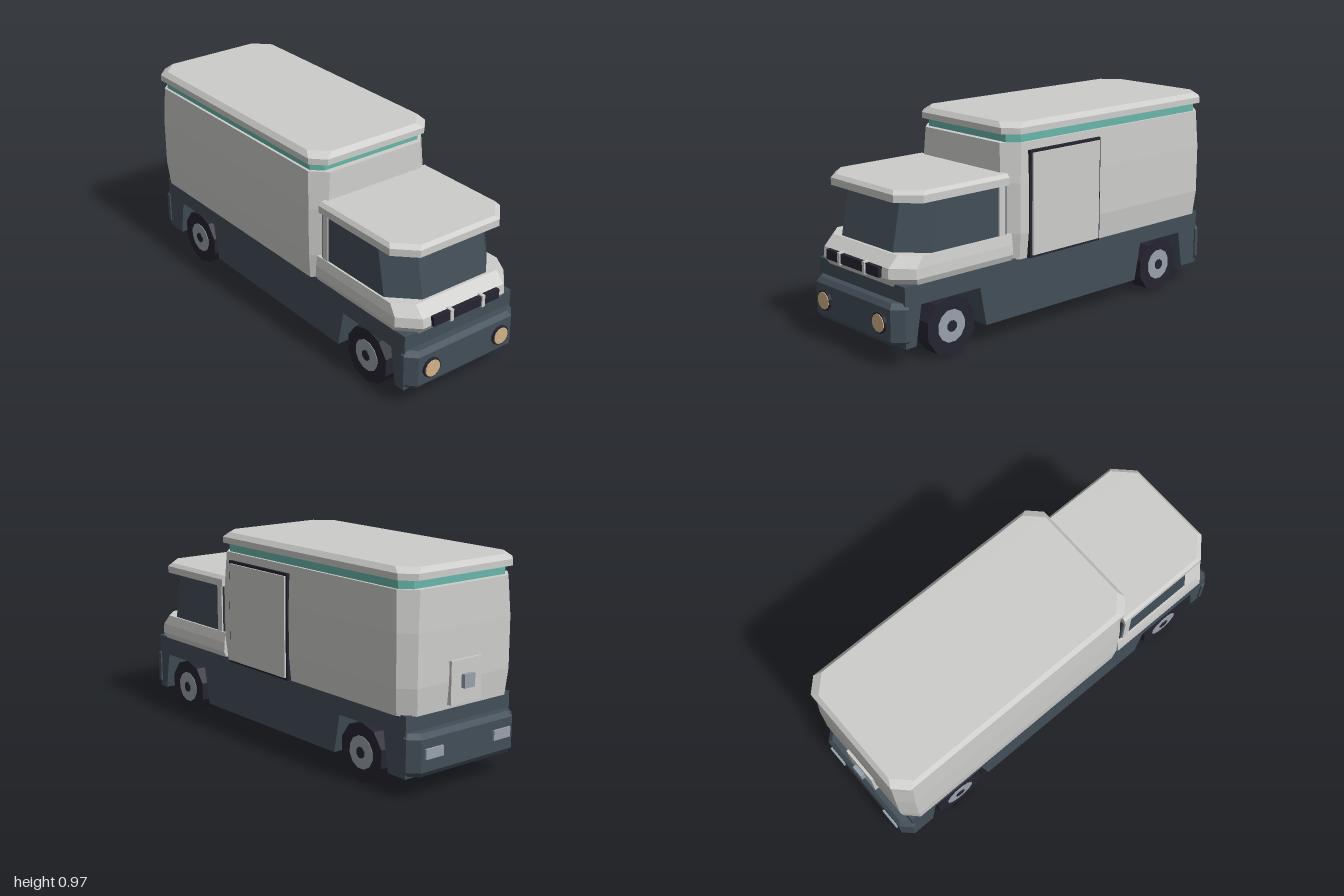
import * as THREE from 'three';

const mat = (name, color) => {
  const m = new THREE.MeshStandardMaterial({ color });
  m.name = name;
  return m;
};

// Stacked plan sections with chamfered corners.
// Each ring: [y, half width, back z, front z, back chamfer, front chamfer]
function loft(rings) {
  const loops = rings.map(([y, w, zb, zf, cb, cf]) => {
    const p = [];
    const add = (x, z) => p.push([x, y, z]);
    if (cf) add(w - cf, zf);
    add(w, zf - cf);
    add(w, zb + cb);
    if (cb) { add(w - cb, zb); add(-w + cb, zb); }
    add(-w, zb + cb);
    add(-w, zf - cf);
    if (cf) add(-w + cf, zf);
    return p;
  });
  const pos = [];
  const tri = (...c) => c.forEach((v) => pos.push(...v));
  const n = loops[0].length;
  for (let k = 0; k < loops.length - 1; k++) {
    const a = loops[k], b = loops[k + 1];
    for (let i = 0; i < n; i++) {
      const j = (i + 1) % n;
      tri(a[i], a[j], b[j]);
      tri(a[i], b[j], b[i]);
    }
  }
  const lo = loops[0], hi = loops[loops.length - 1];
  for (let i = 1; i < n - 1; i++) {
    tri(lo[0], lo[i + 1], lo[i]);
    tri(hi[0], hi[i], hi[i + 1]);
  }
  const g = new THREE.BufferGeometry();
  g.setAttribute('position', new THREE.Float32BufferAttribute(pos, 3));
  g.computeVertexNormals();
  return g;
}

// Flat-faced disc or drum lying along the x or z axis
function drum(r, len, sides, axis) {
  const g = new THREE.CylinderGeometry(r, r, len, sides).toNonIndexed();
  g.rotateY(Math.PI / sides);
  if (axis === 'x') g.rotateZ(Math.PI / 2);
  else g.rotateX(Math.PI / 2);
  g.computeVertexNormals();
  return g;
}

export function createModel() {
  const shell = mat('pale grey shell', 0xcccdca);
  const slate = mat('slate blue', 0x424e58);
  const teal = mat('teal stripe', 0x68b6a9);
  const black = mat('near black', 0x252430);
  const steel = mat('steel', 0x98a1ac);
  const lamp = mat('warm lamp', 0xd2b088);

  const model = new THREE.Group();
  model.name = 'van';
  const truck = new THREE.Group();
  truck.name = 'truck';
  truck.position.x = -0.0075;
  model.add(truck);

  const add = (name, geo, material, x = 0, y = 0, z = 0) => {
    const m = new THREE.Mesh(geo, material);
    m.name = name;
    m.position.set(x, y, z);
    truck.add(m);
    return m;
  };
  const box = (name, w, h, d, material, x, y, z) =>
    add(name, new THREE.BoxGeometry(w, h, d), material, x, y, z);

  // Chassis side profile (z, y) with open wheel arches
  const profile = [
    [-0.93, 0.085], [-0.825, 0.085], [-0.795, 0.265], [-0.51, 0.265], [-0.475, 0.085],
    [0.49, 0.085], [0.525, 0.265], [0.85, 0.265], [0.88, 0.085], [0.935, 0.085],
    [0.935, 0.355], [-0.93, 0.355],
  ];
  const chassis = new THREE.ExtrudeGeometry(
    new THREE.Shape(profile.map((p) => new THREE.Vector2(...p))),
    { depth: 0.614, bevelEnabled: false });
  chassis.translate(0, 0, -0.307).rotateY(-Math.PI / 2);
  add('chassis', chassis, slate);

  // Bumpers
  const bumper = loft([
    [0.095, 0.297, 0.92, 0.968, 0, 0.04],
    [0.118, 0.314, 0.92, 0.985, 0, 0.045],
    [0.26, 0.314, 0.92, 0.985, 0, 0.045],
    [0.283, 0.297, 0.92, 0.968, 0, 0.04],
  ]);
  add('frontBumper', bumper, slate);
  add('rearBumper', bumper, slate).rotation.y = Math.PI;

  // Cargo box with slightly bulging walls
  add('cargoBox', loft([
    [0.35, 0.319, -0.945, 0.362, 0.06, 0.06],
    [0.47, 0.331, -0.955, 0.37, 0.062, 0.062],
    [0.70, 0.331, -0.955, 0.37, 0.062, 0.062],
    [0.877, 0.324, -0.948, 0.363, 0.068, 0.068],
  ]), shell);
  add('tealStripe', loft([
    [0.87, 0.311, -0.92, 0.335, 0.046, 0.046],
    [0.92, 0.311, -0.92, 0.335, 0.046, 0.046],
  ]), teal);
  add('cargoRoof', loft([
    [0.917, 0.333, -0.955, 0.37, 0.06, 0.06],
    [0.945, 0.333, -0.955, 0.37, 0.06, 0.06],
    [0.968, 0.314, -0.935, 0.35, 0.075, 0.075],
  ]), shell);

  // Cab: lower hood, wraparound glass, rear pillars, roof
  add('cabHood', loft([
    [0.335, 0.3, 0.34, 0.93, 0, 0.07],
    [0.38, 0.318, 0.34, 0.965, 0, 0.085],
    [0.425, 0.315, 0.34, 0.96, 0, 0.083],
    [0.473, 0.308, 0.34, 0.912, 0, 0.075],
  ]), shell);
  add('cabGlass', loft([
    [0.465, 0.298, 0.36, 0.9, 0, 0.115],
    [0.705, 0.298, 0.36, 0.853, 0, 0.115],
  ]), slate);
  add('cabRoof', loft([
    [0.697, 0.312, 0.355, 0.92, 0, 0.09],
    [0.73, 0.312, 0.355, 0.92, 0, 0.09],
    [0.747, 0.298, 0.355, 0.905, 0, 0.092],
  ]), shell);

  // Grille and its two bars
  box('grille', 0.376, 0.045, 0.05, black, 0, 0.403, 0.955);
  for (const s of [-1, 1]) box('grilleBar', 0.017, 0.056, 0.06, shell, s * 0.09, 0.403, 0.956);

  // Sliding door on the left side
  box('doorFrame', 0.03, 0.49, 0.443, black, 0.324, 0.596, 0.036);
  box('doorPanel', 0.02, 0.465, 0.418, shell, 0.337, 0.596, 0.036);

  // Rear access panel
  box('rearPanel', 0.18, 0.19, 0.03, shell, 0, 0.465, -0.953);
  box('rearLatch', 0.06, 0.06, 0.03, steel, 0, 0.467, -0.973);

  const tyreGeo = drum(0.135, 0.085, 10, 'x');
  const hubGeo = drum(0.075, 0.008, 12, 'x');
  const capGeo = drum(0.026, 0.008, 8, 'x');
  for (const s of [-1, 1]) {
    box('cabPillar', 0.03, 0.24, 0.035, shell, s * 0.29, 0.585, 0.39);

    // Lamps
    add('headlightRing', drum(0.047, 0.02, 12, 'z'), black, s * 0.2, 0.19, 0.986);
    add('headlight', drum(0.04, 0.008, 12, 'z'), lamp, s * 0.2, 0.19, 0.996);
    box('tailLight', 0.1, 0.045, 0.02, steel, s * 0.2, 0.197, -0.985);

    // Wheels
    for (const z of [0.685, -0.65]) {
      add('tyre', tyreGeo, black, s * 0.26, 0.129, z);
      add('hub', hubGeo, steel, s * 0.301, 0.129, z);
      add('hubCap', capGeo, black, s * 0.305, 0.129, z);
    }
  }

  // Axles
  for (const z of [0.685, -0.65]) box('axle', 0.46, 0.07, 0.07, black, 0, 0.13, z);

  return model;
}
